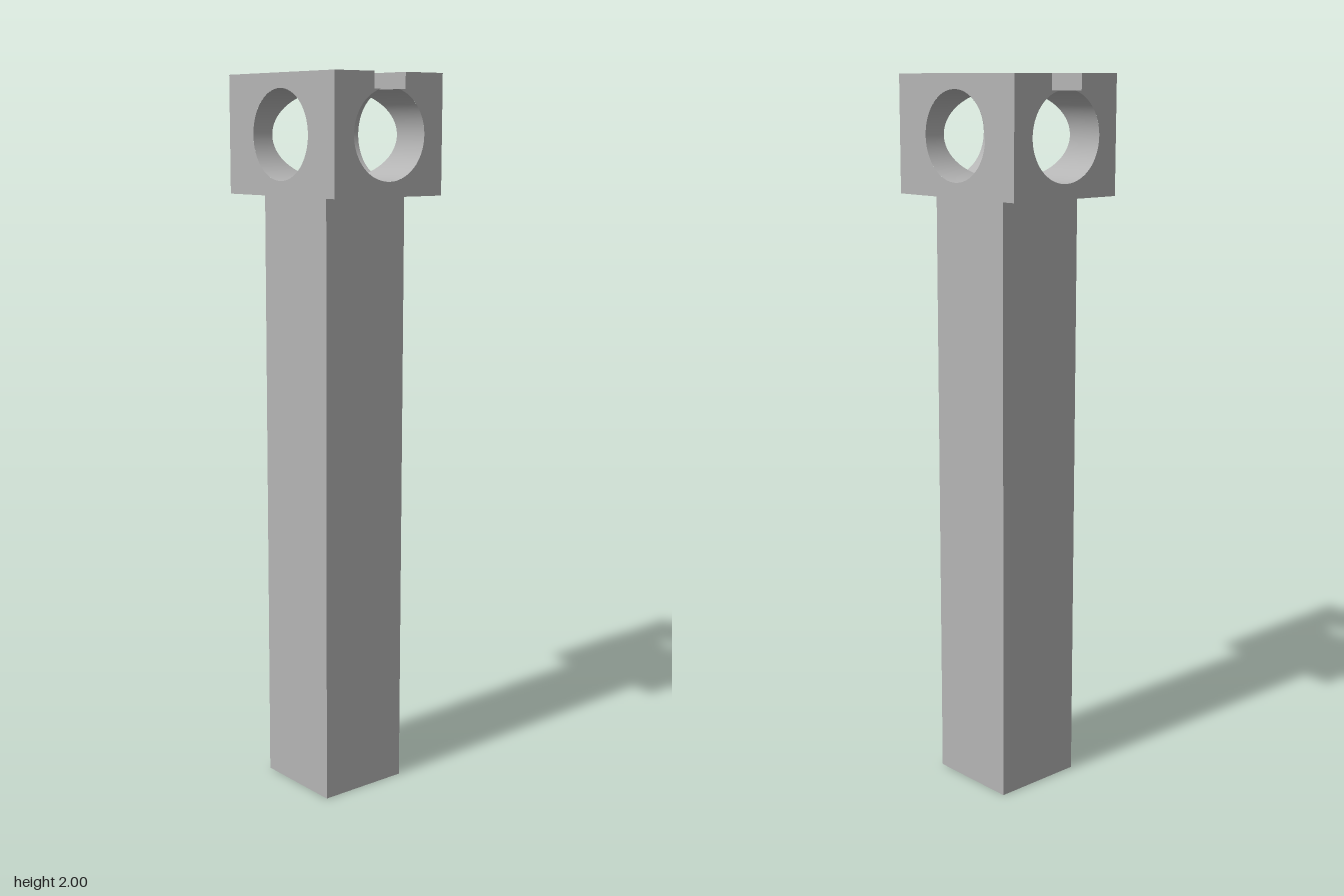
import * as THREE from 'three';

const W = 0.23, D = 0.183;            // half width and depth of the head
const BOTTOM = 1.68, TOP = 2;         // head height range
const CY = 1.84, R = 0.12;            // bore axis height and radius
const SLOT = 0.053, FLOOR = 1.956;    // slot half width and floor height
const A = Math.asin((FLOOR - CY) / R); // angle where the slot floor meets a bore
const C = R * Math.cos(A);            // half width of the bore at the slot floor

// Inward-facing bore wall along +z, running from start(angle) to end
function boreWall(from, to, segments, start, end) {
  const pos = [], normal = [], index = [];
  for (let i = 0; i <= segments; i++) {
    const t = from + (to - from) * i / segments;
    const c = Math.cos(t), s = Math.sin(t);
    pos.push(R * c, CY + R * s, start(t), R * c, CY + R * s, end);
    normal.push(-c, -s, 0, -c, -s, 0);
    if (i < segments) {
      const k = 2 * i;
      index.push(k, k + 1, k + 2, k + 2, k + 1, k + 3);
    }
  }
  const g = new THREE.BufferGeometry();
  g.setAttribute('position', new THREE.Float32BufferAttribute(pos, 3));
  g.setAttribute('normal', new THREE.Float32BufferAttribute(normal, 3));
  g.setIndex(index);
  return g;
}

// Upward-facing rectangle
function flat(x0, x1, z0, z1, y) {
  return new THREE.PlaneGeometry(x1 - x0, z1 - z0).rotateX(-Math.PI / 2)
    .translate((x0 + x1) / 2, y, (z0 + z1) / 2);
}

export function createModel() {
  const grey = new THREE.MeshStandardMaterial({ color: 0xb4b4b4 });
  grey.name = 'grey';
  const model = new THREE.Group();
  model.name = 'slottedPost';
  const head = new THREE.Group();
  head.name = 'head';
  model.add(head);

  const add = (parent, name, geometry, turn = 0) => {
    const mesh = new THREE.Mesh(geometry, grey);
    mesh.name = name;
    mesh.rotation.y = turn;
    parent.add(mesh);
  };

  // Square post
  add(model, 'post', new THREE.BoxGeometry(0.27, BOTTOM, 0.27).translate(0, BOTTOM / 2, 0));

  // Front face with a round hole
  const front = new THREE.Shape([[-W, BOTTOM], [W, BOTTOM], [W, TOP], [-W, TOP]]
    .map(p => new THREE.Vector2(...p)));
  front.holes.push(new THREE.Path().absarc(0, CY, R, 0, Math.PI * 2, true));
  const frontFace = new THREE.ShapeGeometry(front, 96).translate(0, 0, D);

  // Side face whose round hole opens into the slot
  const side = new THREE.Shape();
  side.moveTo(-D, BOTTOM).lineTo(D, BOTTOM).lineTo(D, TOP).lineTo(SLOT, TOP)
    .lineTo(SLOT, FLOOR).lineTo(C, FLOOR);
  side.absarc(0, CY, R, A, Math.PI - A, true);
  side.lineTo(-SLOT, FLOOR).lineTo(-SLOT, TOP).lineTo(-D, TOP);
  const sideFace = new THREE.ShapeGeometry(side, 96).translate(0, 0, W);

  // Slot wall, notched by the front-to-back bore
  const notch = new THREE.Shape();
  notch.moveTo(-W, FLOOR).lineTo(-C, FLOOR);
  notch.absarc(0, CY, R, Math.PI - A, A, true);
  notch.lineTo(W, FLOOR).lineTo(W, TOP).lineTo(-W, TOP);
  const slotWall = new THREE.ShapeGeometry(notch, 16).translate(0, 0, -SLOT);

  // The bores stop where they cross each other or the slot
  const crossing = t => R * Math.abs(Math.cos(t));
  const longBore = boreWall(Math.PI - A, 2 * Math.PI + A, 96, crossing, W);
  const shortBore = boreWall(Math.PI - A, 2 * Math.PI + A, 96, crossing, D);
  const shortBoreTop = boreWall(A, Math.PI - A, 12, () => SLOT, D);

  // Each half of the head is the other turned half way round
  for (const turn of [0, Math.PI]) {
    add(head, 'face', frontFace, turn);
    add(head, 'slottedEnd', sideFace, turn + Math.PI / 2);
    add(head, 'slotWall', slotWall, turn);
    add(head, 'longBore', longBore, turn + Math.PI / 2);
    add(head, 'shortBore', shortBore, turn);
    add(head, 'shortBoreTop', shortBoreTop, turn);
    add(head, 'topFace', flat(-W, W, SLOT, D, TOP), turn);
    add(head, 'slotLedge', flat(C, W, C, SLOT, FLOOR), turn);
    add(head, 'slotLedge', flat(-W, -C, C, SLOT, FLOOR), turn);
  }
  add(head, 'underside', new THREE.PlaneGeometry(2 * W, 2 * D)
    .rotateX(Math.PI / 2).translate(0, BOTTOM, 0));

  return model;
}
